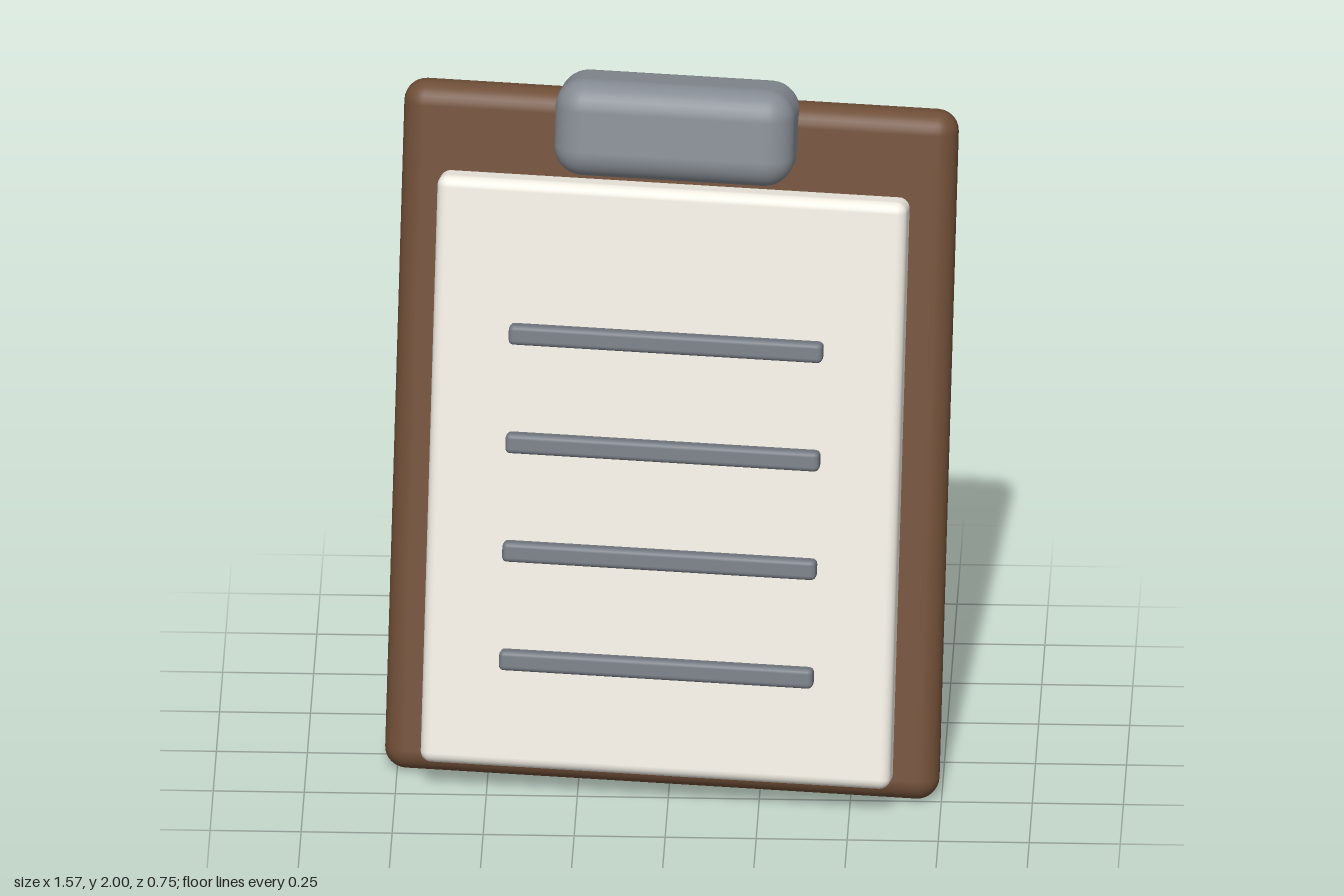
import * as THREE from 'three';
import { RoundedBoxGeometry } from 'three/addons/geometries/RoundedBoxGeometry.js';

const material = (color) => new THREE.MeshStandardMaterial({ color });

// Rounded block: size [w, h, d], edge radius, position [x, y, z]
function block(name, size, radius, position, mat, segments = 4) {
  const mesh = new THREE.Mesh(new RoundedBoxGeometry(...size, segments, radius), mat);
  mesh.name = name;
  mesh.position.set(...position);
  return mesh;
}

export function createModel() {
  const wood = material(0x6f4e37);
  const paperWhite = material(0xf0ece2);
  const metal = material(0x858b92);
  const ink = material(0x757b83);

  // Clipboard built upright, then leaned back and turned slightly
  const clipboard = new THREE.Group();
  clipboard.name = 'clipboard';
  clipboard.add(
    block('board', [1.535, 1.945, 0.132], 0.06, [0, 0, 0], wood),
    block('paper', [1.302, 1.66, 0.108], 0.03, [0, -0.088, 0.12], paperWhite),
    block('clip', [0.663, 0.272, 0.251], 0.08, [0, 0.9, 0.091], metal),
  );

  // Written lines on the paper
  for (let i = 0; i < 4; i++) {
    clipboard.add(block(`line${i + 1}`, [0.87, 0.056, 0.06], 0.014,
      [0, 0.314 - i * 0.307, 0.181], ink, 2));
  }

  clipboard.rotation.set(-0.2094, -0.1047, 0, 'YXZ');
  clipboard.position.set(0, 0.955, -0.045);

  const model = new THREE.Group();
  model.name = 'model';
  model.add(clipboard);
  return model;
}
